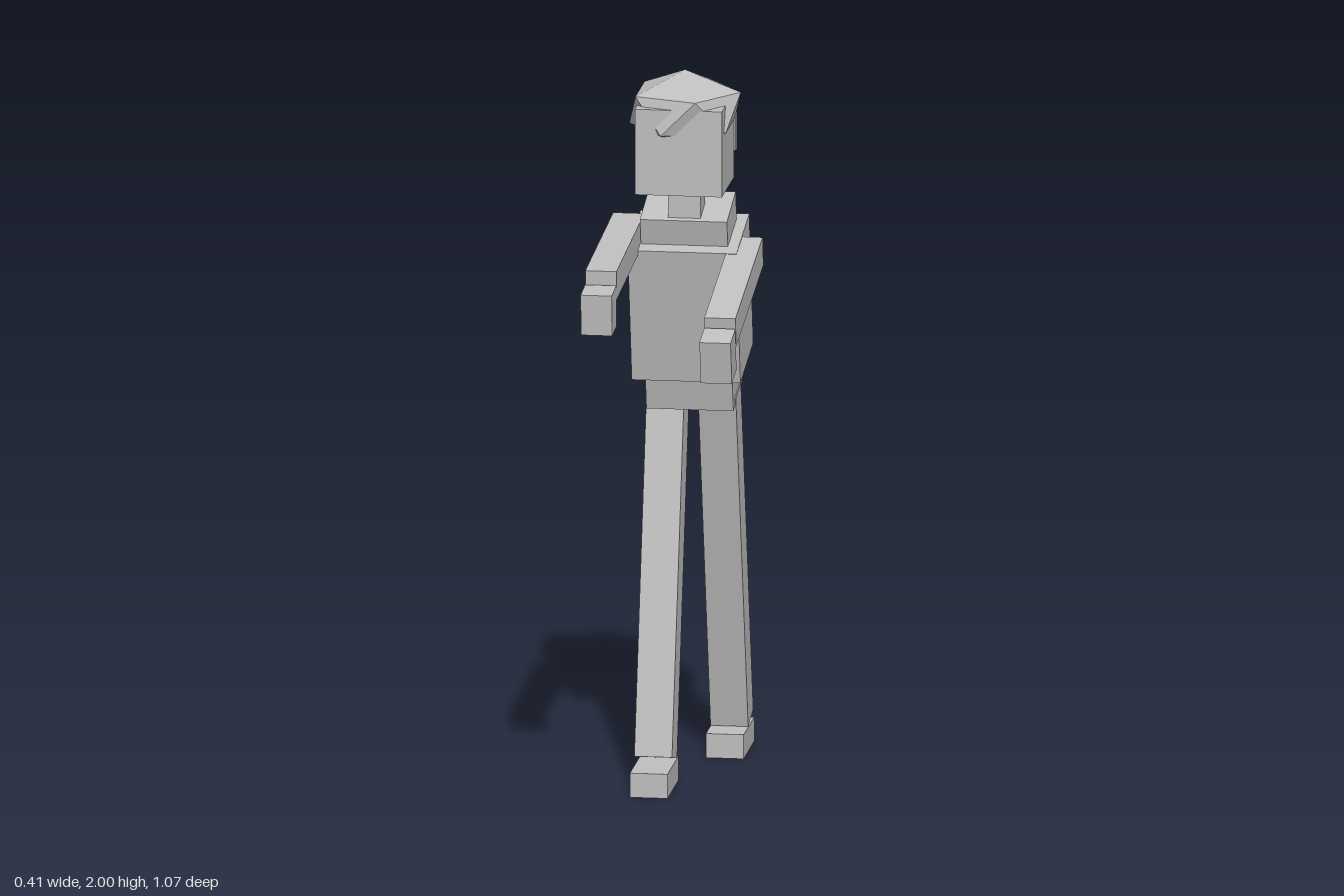
import * as THREE from 'three';

export function createModel() {
  const model = new THREE.Group();
  const grey = new THREE.MeshStandardMaterial({ color: 0xbfbfbf, flatShading: true });
  grey.name = 'plain grey';

  // Box given by size, centre and forward tilt about x
  function box(name, size, centre, tilt = 0) {
    const mesh = new THREE.Mesh(new THREE.BoxGeometry(...size), grey);
    mesh.name = name;
    mesh.position.set(...centre);
    mesh.rotation.x = tilt;
    model.add(mesh);
    return mesh;
  }

  // Leaning trunk
  box('torso', [0.30, 0.39, 0.26], [0, 1.336, -0.148], 0.205);
  box('shoulderBlock', [0.24, 0.09, 0.18], [0, 1.561, -0.106], 0.25);
  box('pelvis', [0.24, 0.12, 0.18], [0, 1.10, -0.21], 0.23);

  // Head, neck and the thin plate behind the head
  box('neck', [0.09, 0.13, 0.085], [0, 1.62, -0.067]);
  box('head', [0.24, 0.24, 0.245], [0, 1.796, -0.03]);
  box('backHair', [0.25, 0.165, 0.025], [0, 1.833, -0.16]);

  // Faceted hair: a flattened icosahedron built as apex, two rings, apex
  const ringR = 0.154;
  const ring = (y, turn) => Array.from({ length: 5 }, (_, i) => {
    const a = (i + turn) * Math.PI * 0.4;
    return [ringR * Math.cos(a), y, ringR * Math.sin(a)];
  });
  const upper = ring(0.048, 0), lower = ring(-0.048, 0.5);
  const top = [0, 0.107, 0], bottom = [0, -0.107, 0];
  const corners = [];
  for (let i = 0; i < 5; i++) {
    const j = (i + 1) % 5;
    corners.push(top, upper[j], upper[i]);
    corners.push(upper[i], upper[j], lower[i]);
    corners.push(lower[i], upper[j], lower[j]);
    corners.push(bottom, lower[i], lower[j]);
  }
  const hairGeometry = new THREE.BufferGeometry();
  hairGeometry.setAttribute('position', new THREE.Float32BufferAttribute(corners.flat(), 3));
  hairGeometry.computeVertexNormals();
  const hair = new THREE.Mesh(hairGeometry, grey);
  hair.name = 'hair';
  hair.position.set(0, 1.893, -0.042);
  model.add(hair);

  // Striding legs with flat feet
  for (const [side, x, legZ, footZ, tilt] of [
    ['right', -0.071, -0.09, 0.064, -0.245],
    ['left', 0.071, -0.336, -0.425, 0.245],
  ]) {
    box(side + 'Leg', [0.104, 1.01, 0.103], [x, 0.572, legZ], -tilt * -1);
    box(side + 'Foot', [0.104, 0.068, 0.212], [x, 0.034, footZ]);
  }
  // Right leg swings its foot forward, left leg swings it back
  model.getObjectByName('rightLeg').rotation.x = -0.245;
  model.getObjectByName('leftLeg').rotation.x = 0.245;

  // Outstretched arms with drooping hands
  box('rightArm', [0.086, 0.08, 0.555], [-0.165, 1.519, 0.165], 0.058);
  box('rightHand', [0.086, 0.115, 0.09], [-0.165, 1.443, 0.488], 0.09);
  box('leftArm', [0.086, 0.083, 0.55], [0.163, 1.43, 0.163], 0.184);
  box('leftHand', [0.086, 0.122, 0.095], [0.163, 1.323, 0.478], 0.2);

  return model;
}
